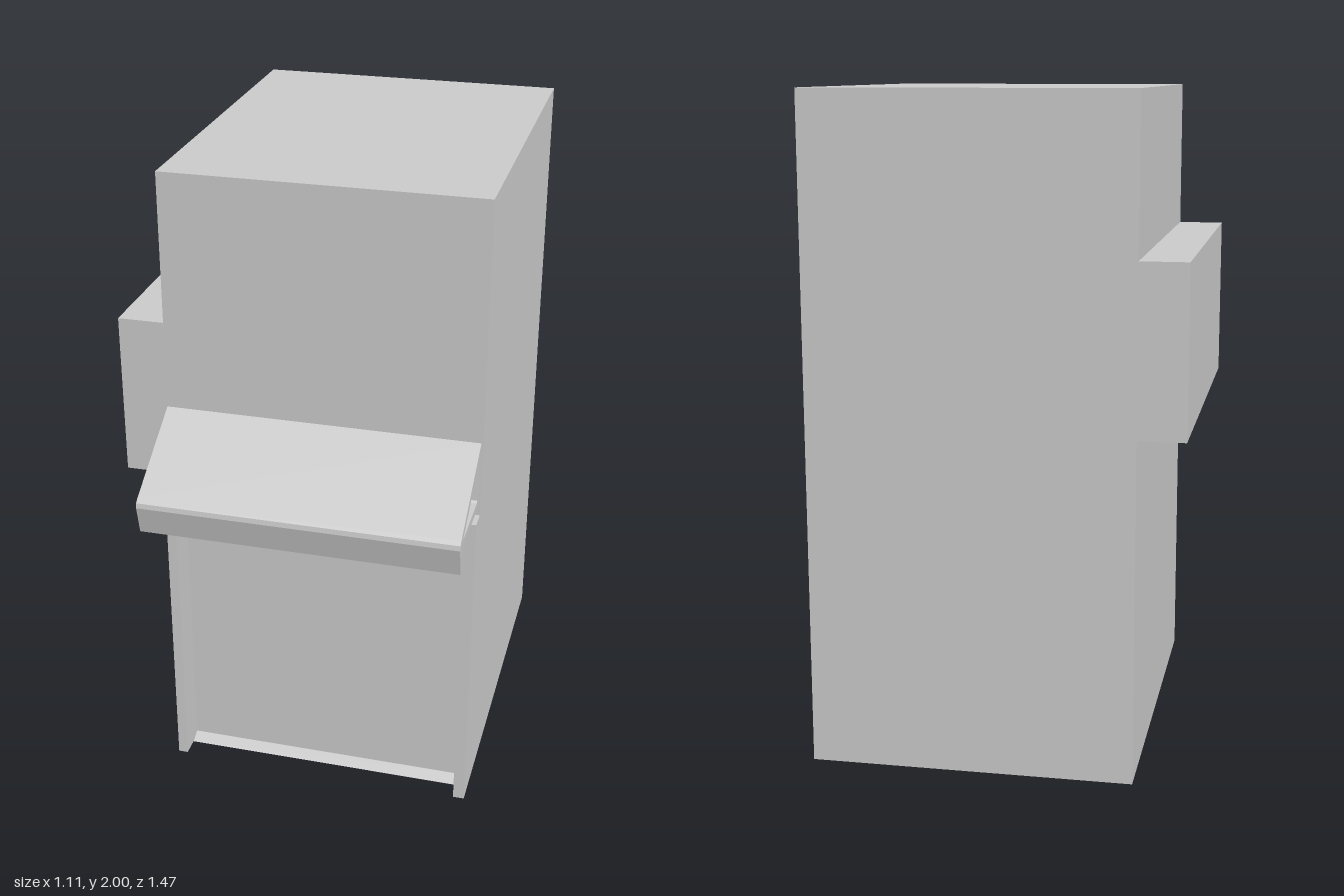
import * as THREE from 'three';

const mat = new THREE.MeshStandardMaterial({ color: 0xcccccc, flatShading: true });

export function createModel() {
  const group = new THREE.Group();
  const L = -0.415, R = 0.555, BACK = -0.735, FRONT = 0.435;

  const add = (name, geometry) => {
    const mesh = new THREE.Mesh(geometry, mat);
    mesh.name = name;
    group.add(mesh);
    return mesh;
  };

  const box = (name, x0, x1, y0, y1, z0, z1) => {
    const mesh = add(name, new THREE.BoxGeometry(x1 - x0, y1 - y0, z1 - z0));
    mesh.position.set((x0 + x1) / 2, (y0 + y1) / 2, (z0 + z1) / 2);
    return mesh;
  };

  // Extrudes a [z, y] side profile from x0 to x1
  const profile = (name, points, x0, x1, hole) => {
    const toShape = (pts, Type) => new Type(pts.map(([z, y]) => new THREE.Vector2(-z, y)));
    const shape = toShape(points, THREE.Shape);
    if (hole) shape.holes.push(toShape(hole, THREE.Path));
    const g = new THREE.ExtrudeGeometry(shape, { depth: x1 - x0, bevelEnabled: false });
    g.rotateY(Math.PI / 2);
    g.translate(x0, 0, 0);
    return add(name, g);
  };

  // Cabinet: full-depth top, lower front set back behind the jambs with a sloped sill
  profile('cabinet', [
    [BACK, 0], [FRONT, 0], [0.395, 0.015], [0.395, 1.02], [FRONT, 1.02], [FRONT, 2], [BACK, 2],
  ], L, R);

  // Side compartment
  box('sideCompartment', -0.557, L, 1.03, 1.535, BACK, FRONT);

  // Jambs flanking the lower front panel
  box('jamb', L, L + 0.03, 0, 1.02, 0.39, 0.495);
  box('jamb', R - 0.035, R, 0, 1.02, 0.39, 0.495);

  // Rectangular plate on the front panel
  box('frontPlate', -0.108, 0.465, 0.517, 0.895, 0.38, 0.398);

  // Sloped hood with a turned-down lip
  const hoodRight = 0.55;
  profile('hood', [
    [FRONT, 1.26], [0.715, 1.094], [0.728, 1.083], [0.731, 1.068], [0.71, 0.978],
    [0.686, 0.985], [0.702, 1.058], [0.695, 1.078], [FRONT, 1.23],
  ], L, hoodRight);

  // Triangular brackets carrying the hood at both ends
  for (const x of [L, hoodRight - 0.025]) {
    profile('hoodBracket', [
      [FRONT, 1.24], [0.71, 1.077], [0.7, 1.055], [0.45, 1.055], [0.44, 1.06], [FRONT, 1.068],
    ], x, x + 0.025, [[0.459, 1.216], [0.464, 1.085], [0.472, 1.08], [0.69, 1.08]]);
  }

  return group;
}
